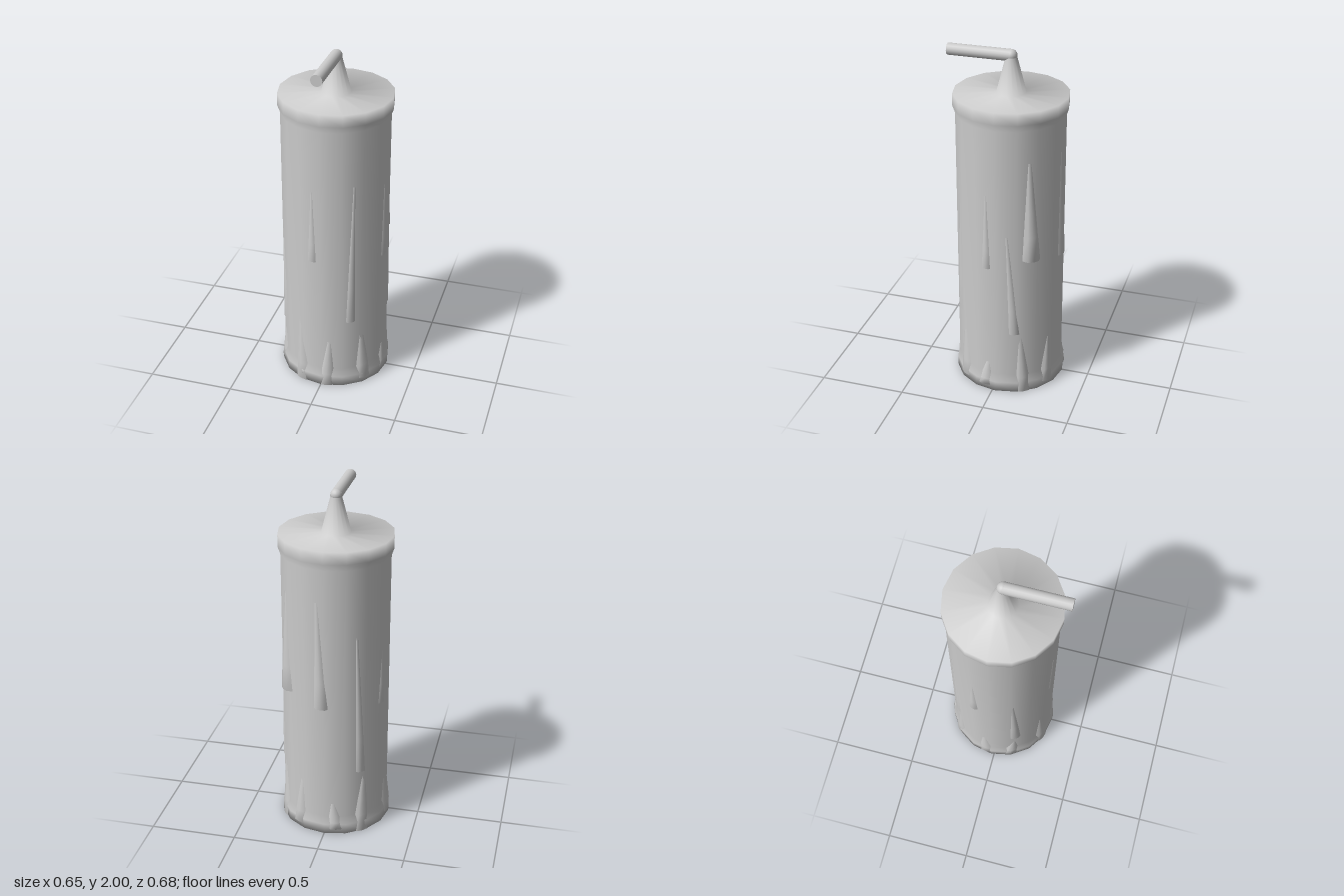
import * as THREE from 'three';

const material = new THREE.MeshStandardMaterial({ color: 0xcccccc });
const dripMaterial = new THREE.MeshStandardMaterial({ color: 0xcccccc, side: THREE.DoubleSide });

function part(name, geometry, mat = material) {
  const mesh = new THREE.Mesh(geometry, mat);
  mesh.name = name;
  return mesh;
}

// Raised run of wax: a tapered ridge lying on the wall, closed by a blunt lower end.
function dripGeometry({ angle, top, bottom, width, swell, lean = 0 }) {
  const rows = 4, pos = [], index = [];
  for (let i = 0; i <= rows + 1; i++) {
    const t = Math.min(i / rows, 1);
    const end = i > rows;
    const y = top + (bottom - top) * t;
    const w = width * (0.25 + 0.75 * t);
    for (let j = -2; j <= 2; j++) {
      const crest = Math.abs(j) < 2 && !end;
      const r = crest ? 0.303 + swell * t * (j === 0 ? 1 : 0.85) : 0.297;
      const a = angle + lean * t + (j / 2) * w;
      pos.push(Math.sin(a) * r, y, Math.cos(a) * r);
    }
  }
  for (let i = 0; i <= rows; i++) {
    for (let j = 0; j < 4; j++) {
      const a = i * 5 + j, b = a + 5;
      index.push(a, b, a + 1, b, b + 1, a + 1);
    }
  }
  const g = new THREE.BufferGeometry();
  g.setAttribute('position', new THREE.Float32BufferAttribute(pos, 3));
  g.setIndex(index);
  g.computeVertexNormals();
  return g;
}

export function createModel() {
  const model = new THREE.Group();
  const candle = new THREE.Group();
  candle.name = 'candle';
  candle.position.z = -0.018;
  model.add(candle);

  // Wax body with flared foot, flared rim and the cone around the wick
  const profile = [
    [0, 0], [0.322, 0], [0.322, 0.06], [0.308, 0.11], [0.308, 1.65],
    [0.322, 1.69], [0.322, 1.76], [0.083, 1.76], [0.034, 1.95], [0.03, 1.967],
  ].map(([r, y]) => new THREE.Vector2(r, y));
  candle.add(part('body', new THREE.LatheGeometry(profile, 16)));

  // Bent wick: rounded elbow and a straight length towards the front
  const elbow = part('wickElbow', new THREE.SphereGeometry(0.033, 16, 12));
  elbow.position.y = 1.967;
  const wick = part('wick', new THREE.CylinderGeometry(0.033, 0.033, 0.36, 16));
  wick.rotation.x = Math.PI / 2;
  wick.position.set(0, 1.967, 0.18);
  candle.add(elbow, wick);

  // Long wax runs: angle from the front, top, bottom, half width, swell, lean
  const runs = [
    [-0.18, 1.28, 0.84, 0.11, 0.008, 0],
    [0.62, 1.32, 0.44, 0.12, 0.008, -0.06],
    [1.38, 1.26, 0.81, 0.11, 0.01, 0],
    [1.78, 1.02, 0.39, 0.13, 0.01, 0.15],
    [2.2, 1.46, 0.87, 0.2, 0.032, 0.05],
    [3.0, 1.46, 0.82, 0.16, 0.018, 0.08],
    [3.75, 1.25, 0.4, 0.13, 0.01, 0.1],
    [4.35, 1.27, 0.8, 0.12, 0.012, 0],
    [5.1, 1.15, 0.33, 0.14, 0.012, 0.1],
  ];
  const drips = new THREE.Group();
  drips.name = 'waxDrips';
  for (const [angle, top, bottom, width, swell, lean] of runs) {
    drips.add(part('waxRun', dripGeometry({ angle, top, bottom, width, swell, lean }), dripMaterial));
  }

  // Short pointed runs pooling around the foot
  for (let i = 0; i < 10; i++) {
    const top = 0.3 + 0.12 * Math.sin(i * 2.3);
    drips.add(part('footRun', dripGeometry({
      angle: 0.15 + (i * Math.PI) / 5, top, bottom: i % 3 ? 0.03 : 0.0,
      width: 0.2, swell: 0.022, lean: i % 2 ? 0.06 : -0.06,
    }), dripMaterial));
  }
  candle.add(drips);
  return model;
}
